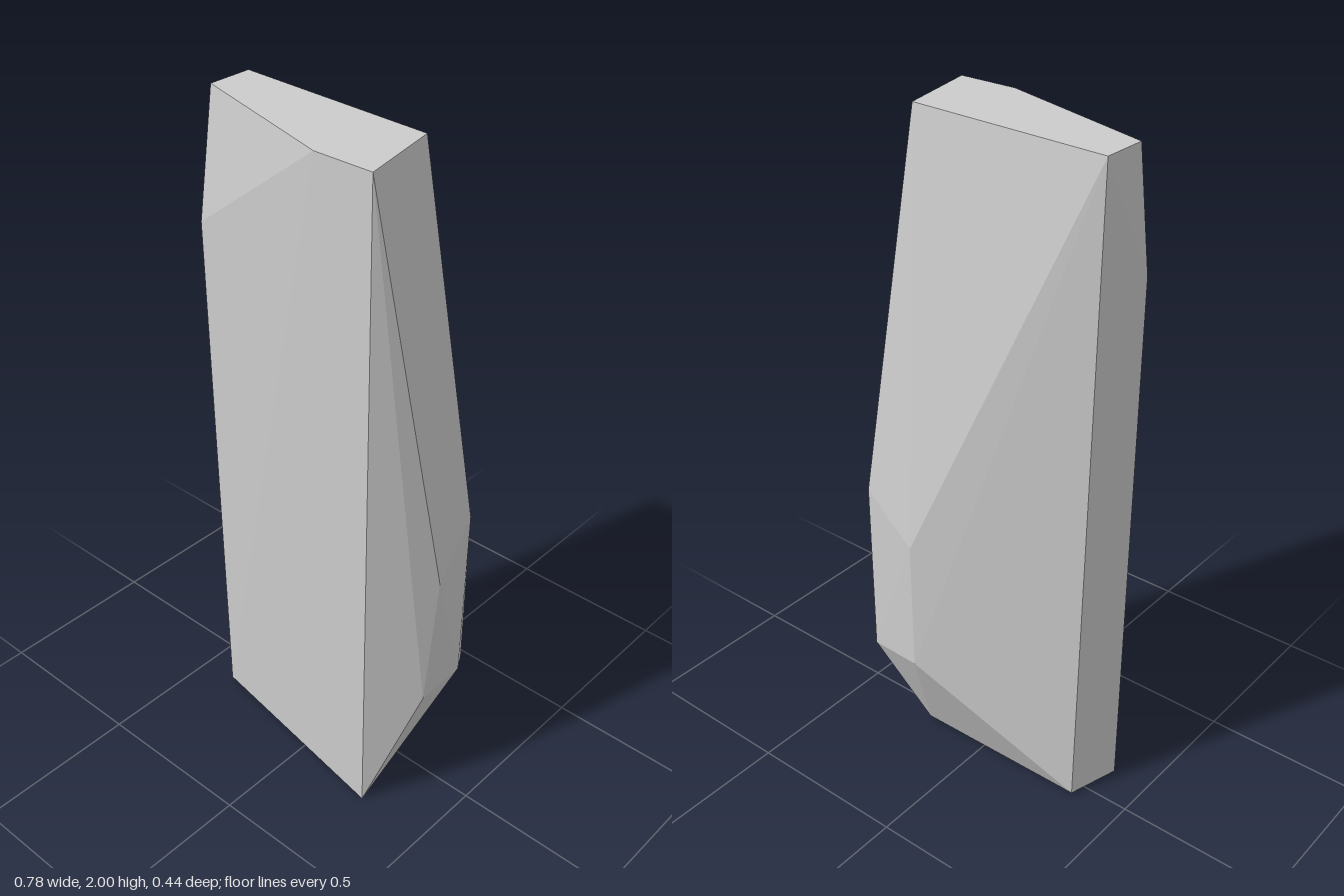
import * as THREE from 'three';
import { ConvexGeometry } from 'three/addons/geometries/ConvexGeometry.js';

export function createModel() {
  const group = new THREE.Group();
  group.name = 'rockSlab';

  // Corner rings of the faceted stone: [x, y, z]
  const top = [
    [-0.39, 2, -0.073], [-0.39, 2, 0.062], [0.1, 2, 0.208], [0.28, 2, 0.209], [0.227, 2, -0.046],
  ];
  const bulge = [
    [-0.39, 1.64, 0.122], // chipped front corner
    [0.39, 0.78, 0.035], [0.335, 0.87, -0.165], [0.13, 0.78, -0.218],
    [0.382, 0.38, 0.078], [0.366, 0.36, -0.105], [0.32, 0.33, -0.179], [0.13, 0.365, -0.216],
  ];
  const base = [
    [-0.385, 0.004, 0.11], [0.276, 0, 0.217], [0.22, 0.003, -0.053], [-0.34, 0.005, -0.05],
  ];

  // The stone is the convex hull of its corners, flat shaded
  const points = [...top, ...bulge, ...base].map((p) => new THREE.Vector3(...p));
  const stone = new THREE.Mesh(
    new ConvexGeometry(points),
    new THREE.MeshStandardMaterial({ color: 0xcccccc, flatShading: true }),
  );
  stone.name = 'stone';
  group.add(stone);
  return group;
}
